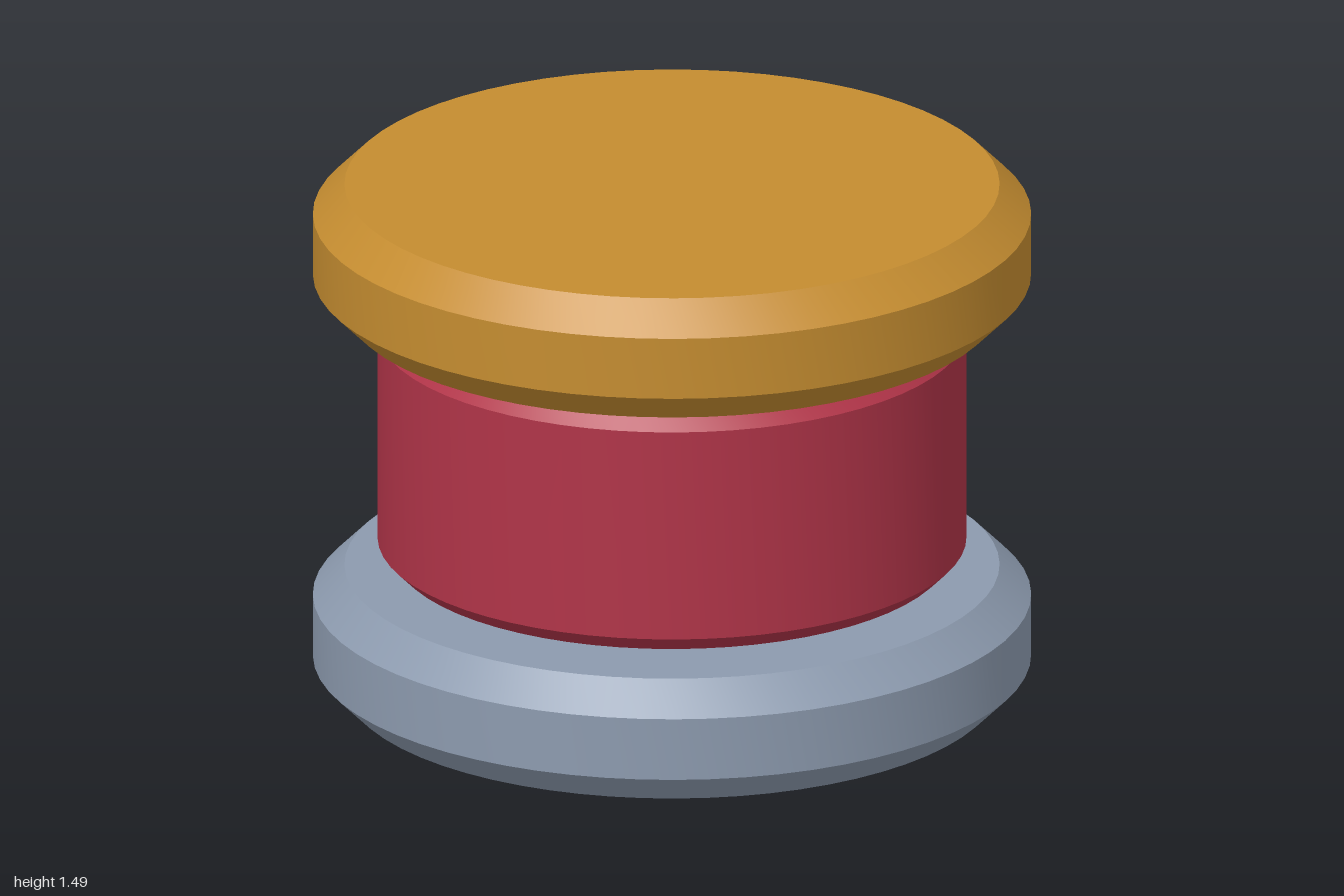
import * as THREE from 'three';
import { toCreasedNormals } from 'three/addons/utils/BufferGeometryUtils.js';

const SEGMENTS = 64;

// Turned part: profile of [radius, height], running outwards then upwards
function turned(name, profile, material) {
  const points = profile.map(([r, y]) => new THREE.Vector2(r, y));
  const geometry = toCreasedNormals(new THREE.LatheGeometry(points, SEGMENTS), 0.4);
  const mesh = new THREE.Mesh(geometry, material);
  mesh.name = name;
  return mesh;
}

// Outer profile of a disc with chamfered rims
function chamfered(radius, bottom, top, chamfer) {
  return [
    [radius - chamfer, bottom],
    [radius, bottom + chamfer],
    [radius, top - chamfer],
    [radius - chamfer, top],
  ];
}

function flatColour(name, color) {
  const material = new THREE.MeshStandardMaterial({ color });
  material.name = name;
  return material;
}

export function createModel() {
  const steel = flatColour('steel grey', 0x8c9aae);
  const red = flatColour('deep red', 0xb03448);
  const gold = flatColour('warm gold', 0xc48c30);

  const model = new THREE.Group();
  model.name = 'spool';

  // Base flange with its flared foot and central stem
  model.add(turned('baseAndStem', [
    [0, 0],
    ...chamfered(1, 0, 0.356, 0.088),
    [0.34, 0.356],
    [0.295, 0.395],
    [0.295, 1.14],
    [0, 1.14],
  ], steel));

  // Middle roller, bored to fit over the stem
  model.add(turned('roller', [
    [0.31, 0.393],
    ...chamfered(0.82, 0.393, 1.098, 0.045),
    [0.31, 1.098],
    [0.31, 0.393],
  ], red));

  // Top cap
  model.add(turned('topCap', [
    [0, 1.132],
    ...chamfered(1, 1.132, 1.486, 0.088),
    [0, 1.486],
  ], gold));

  return model;
}
